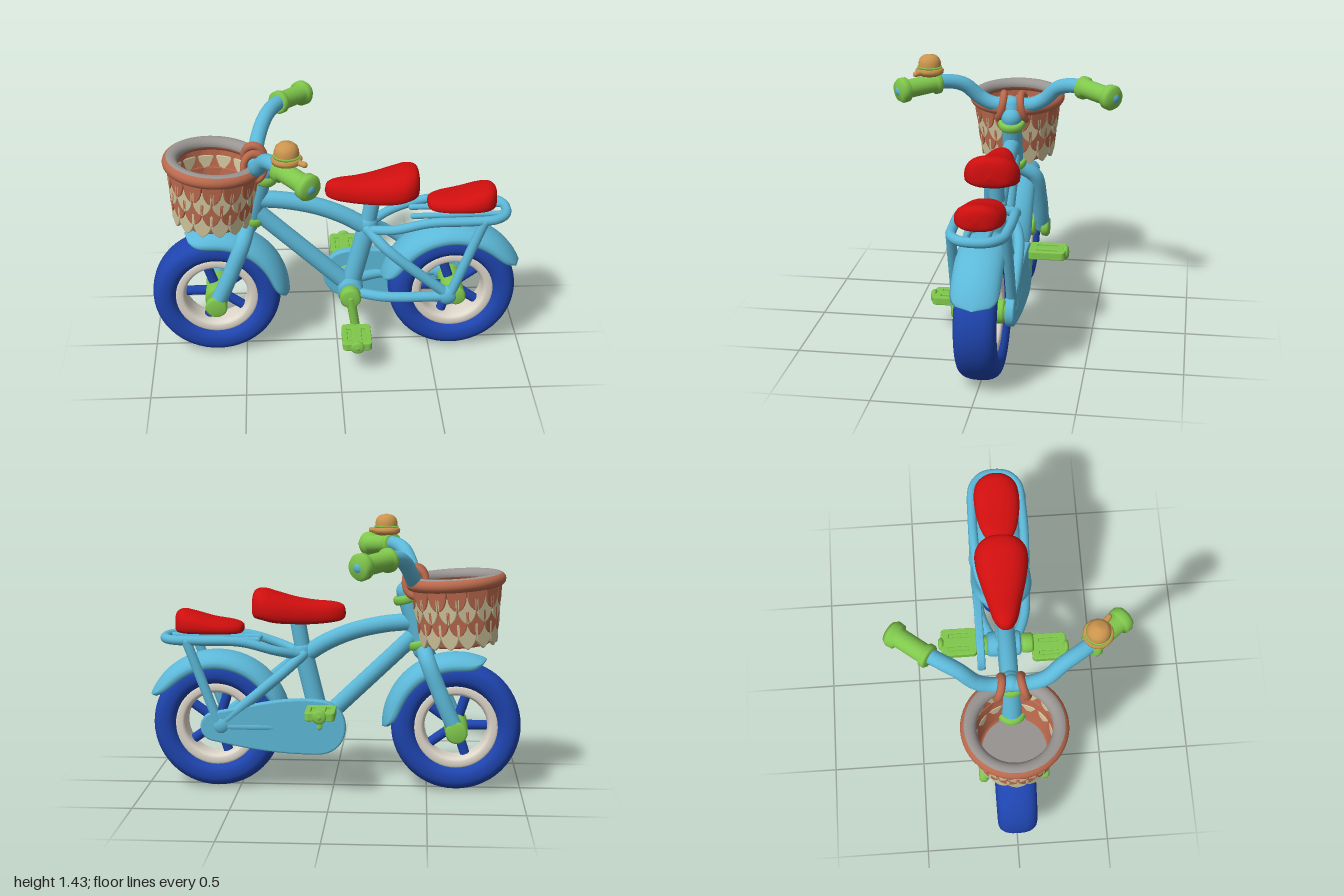
import * as THREE from 'three';

const mat = (name, color, side = THREE.FrontSide) => {
  const m = new THREE.MeshStandardMaterial({ color, side });
  m.name = name;
  return m;
};
const V = (x, y, z = 0) => new THREE.Vector3(x, y, z);
const V2 = (x, y) => new THREE.Vector2(x, y);

export function createModel() {
  const model = new THREE.Group();
  const sky = mat('skyBlue', 0x5cb8d8), navy = mat('tireBlue', 0x1e44ae), green = mat('green', 0x80c84c),
    cream = mat('rimCream', 0xded7ca), red = mat('red', 0xcf0e0e),
    clay = mat('terracotta', 0xb9684c, THREE.DoubleSide), sand = mat('sand', 0xcfc49c),
    grey = mat('grey', 0x999593, THREE.DoubleSide), brass = mat('brass', 0xcc954e);

  const add = (name, geo, material, parent = model) => {
    const m = new THREE.Mesh(geo, material);
    m.name = name;
    parent.add(m);
    return m;
  };
  const ball = (name, r, p, material, parent) => {
    const m = add(name, new THREE.SphereGeometry(r, 20, 14), material, parent);
    m.position.copy(p);
    return m;
  };
  // Smooth tube with rounded ends
  const tube = (name, pts, r, material = sky, parent = model) => {
    const curve = new THREE.CatmullRomCurve3(pts);
    add(name, new THREE.TubeGeometry(curve, pts.length > 2 ? 10 * pts.length : 1, r, 16), material, parent);
    for (const p of [pts[0], pts[pts.length - 1]]) ball(name + 'End', r, p, material, parent);
  };
  // Turned profile [radius, distance] laid from point a towards point b
  const turned = (name, profile, a, b, material, parent) => {
    const m = add(name, new THREE.LatheGeometry(profile.map(([r, y]) => V2(r, y)), 28), material, parent);
    m.position.copy(a);
    m.quaternion.setFromUnitVectors(V(0, 1), b.clone().sub(a).normalize());
    return m;
  };
  const disc = (name, r, x, y, z0, z1, material, parent) => {
    const d = z1 - z0, e = Math.min(0.012, d / 3);
    return turned(name, [[0, 0], [r - e, 0], [r, e], [r, d - e], [r - e, d], [0, d]], V(x, y, z0), V(x, y, z1), material, parent);
  };
  // Skin over a list of closed cross-sections
  const loft = (sections) => {
    const n = sections[0].length, idx = [];
    for (let i = 0; i < sections.length - 1; i++)
      for (let j = 0; j < n; j++) {
        const a = i * n + j, b = a + n, c = i * n + (j + 1) % n, d = c + n;
        idx.push(a, b, c, b, d, c);
      }
    const g = new THREE.BufferGeometry().setFromPoints(sections.flat());
    g.setIndex(idx);
    g.computeVertexNormals();
    return g;
  };

  // Wheels: tire, rim, five spokes, hub
  const ovalRing = (R, a, b, p) => Array.from({ length: 33 }, (_, i) => {
    const t = -i / 32 * Math.PI * 2, c = Math.cos(t), s = Math.sin(t);
    return V2(R + a * Math.sign(c) * Math.abs(c) ** p, b * Math.sign(s) * Math.abs(s) ** p);
  }).reverse();
  for (const [name, x] of [['frontWheel', -0.652], ['rearWheel', 0.622]]) {
    const w = new THREE.Group();
    w.name = name;
    w.position.set(x, 0.345, 0);
    model.add(w);
    add('tire', new THREE.LatheGeometry(ovalRing(0.277, 0.068, 0.105, 0.8), 56), navy, w).rotation.x = Math.PI / 2;
    add('rim', new THREE.LatheGeometry(ovalRing(0.2, 0.034, 0.075, 0.6), 48), cream, w).rotation.x = Math.PI / 2;
    for (let i = 0; i < 5; i++) {
      const a = Math.PI + i * Math.PI * 0.4;
      tube('spoke', [V(0, 0), V(0.18 * Math.cos(a), 0.18 * Math.sin(a))], 0.026, navy, w);
    }
    disc('hub', 0.062, 0, 0, -0.11, 0.11, green, w);
  }

  // Fenders: arched section swept around the wheel, rounded at both ends
  const fender = (name, x, from, to) => {
    const sections = [];
    for (let i = 0; i <= 48; i++) {
      const u = i / 48, s = Math.pow(Math.max(0, 1 - Math.abs(2 * u - 1) ** 7), 0.5);
      const th = THREE.MathUtils.degToRad(from + (to - from) * u), loop = [];
      for (let k = 0; k < 26; k++) {
        const outer = k < 13, f = (outer ? k / 6 - 1 : (25 - k) / 6 - 1) * s * Math.PI / 2;
        const r = 0.322 + 0.072 * Math.cos(f) - (outer ? 0 : 0.016);
        loop.push(V(x + r * Math.cos(th), 0.345 + r * Math.sin(th), (outer ? 0.122 : 0.11) * Math.sin(f)));
      }
      sections.push(loop);
    }
    add(name, loft(sections), sky);
  };
  fender('frontFender', -0.652, -2, 114);
  fender('rearFender', 0.622, 22, 170);

  // Main frame
  tube('headTube', [V(-0.475, 0.75), V(-0.385, 1.06)], 0.056);
  tube('stem', [V(-0.39, 1.04), V(-0.415, 1.13)], 0.045);
  tube('topTube', [V(-0.42, 0.9), V(-0.27, 0.885), V(-0.1, 0.845), V(0.04, 0.785), V(0.16, 0.71)], 0.046);
  tube('downTube', [V(-0.43, 0.83), V(0.06, 0.36)], 0.046);
  tube('seatTube', [V(0.07, 0.35), V(0.165, 0.74)], 0.052);
  tube('seatPost', [V(0.16, 0.72), V(0.195, 0.92)], 0.042);
  disc('bottomBracket', 0.07, 0.07, 0.35, -0.1, 0.09, sky);
  for (const [x, y] of [[-0.462, 0.785], [-0.387, 1.025]]) {
    turned('headBand', [[0.05, -0.022], [0.066, -0.022], [0.074, -0.01], [0.074, 0.01], [0.066, 0.022], [0.05, 0.022]],
      V(x, y), V(x + 0.09, y + 0.31), green);
  }

  // Paired fork legs, stays and rack supports
  for (const s of [1, -1]) {
    tube('forkLeg', [V(-0.475, 0.76, s * 0.03), V(-0.5, 0.7, s * 0.115), V(-0.56, 0.55, s * 0.14),
      V(-0.62, 0.41, s * 0.145), V(-0.652, 0.345, s * 0.145)], 0.043);
    disc('forkNut', 0.058, -0.652, 0.34, s * 0.165 - 0.025, s * 0.165 + 0.025, green);
    tube('chainStay', [V(0.08, 0.35, s * 0.06), V(0.25, 0.35, s * 0.125), V(0.59, 0.35, s * 0.135)], 0.028);
    tube('seatStay', [V(0.16, 0.72, s * 0.04), V(0.27, 0.63, s * 0.125), V(0.59, 0.36, s * 0.135)], 0.028);
    tube('rackStay', [V(0.6, 0.36, s * 0.14), V(0.765, 0.8, s * 0.135)], 0.026);
    ball('dropout', 0.056, V(0.588, 0.355, s * 0.13), sky).scale.z = 0.75;
    disc('rearNut', 0.05, 0.635, 0.35, s * 0.13 - 0.025, s * 0.13 + 0.025, green);
    tube('rackRail', [V(0.4, 0.8, s * 0.05), V(0.9, 0.805, s * 0.05)], 0.016);
  }
  // Rear rack loop
  const side = [V(0.17, 0.715, 0.04), V(0.3, 0.755, 0.115), V(0.48, 0.802, 0.135), V(0.7, 0.806, 0.135),
    V(0.83, 0.806, 0.12), V(0.89, 0.806, 0.06)];
  tube('rackLoop', [...side, ...side.map((p) => V(p.x, p.y, -p.z)).reverse()], 0.025);

  // Teardrop chain guard
  const guard = new THREE.Shape();
  guard.moveTo(0.08, 0.215);
  guard.bezierCurveTo(-0.11, 0.215, -0.11, 0.49, 0.08, 0.49);
  guard.bezierCurveTo(0.26, 0.51, 0.45, 0.45, 0.62, 0.42);
  guard.bezierCurveTo(0.71, 0.41, 0.71, 0.29, 0.62, 0.28);
  guard.bezierCurveTo(0.45, 0.24, 0.28, 0.215, 0.08, 0.215);
  add('chainGuard', new THREE.ExtrudeGeometry(guard, { depth: 0.025, bevelThickness: 0.01, bevelSize: 0.01,
    bevelSegments: 3, curveSegments: 20 }), sky).position.z = -0.15;

  // Cranks and pedals
  const pedal = (s, px, py) => {
    disc('crankHub', 0.056, 0.065, 0.355, s * 0.125 - 0.035, s * 0.125 + 0.035, green);
    tube('crankArm', [V(0.065, 0.355, s * 0.14), V(px, py, s * 0.14)], 0.025, green);
    disc('pedalAxle', 0.022, px, py, s * 0.25 - 0.12, s * 0.25 + 0.12, green);
    disc('pedalKnob', 0.036, px, py, s * 0.353 - 0.015, s * 0.353 + 0.015, green);
    const shape = new THREE.Shape();
    shape.absarc(0.055, 0.075, 0.018, 0, Math.PI / 2);
    shape.absarc(-0.055, 0.075, 0.018, Math.PI / 2, Math.PI);
    shape.absarc(-0.055, -0.075, 0.018, Math.PI, Math.PI * 1.5);
    shape.absarc(0.055, -0.075, 0.018, Math.PI * 1.5, Math.PI * 2);
    for (const x of [-0.038, 0.038]) {
      shape.holes.push(new THREE.Path([V2(x - 0.016, -0.06), V2(x - 0.016, 0.06), V2(x + 0.016, 0.06), V2(x + 0.016, -0.06)]));
    }
    const body = add('pedal', new THREE.ExtrudeGeometry(shape, { depth: 0.034, bevelThickness: 0.005, bevelSize: 0.005, bevelSegments: 2 }), green);
    body.rotation.x = -Math.PI / 2;
    body.position.set(px, py - 0.017, s * 0.255);
    add('pedalCore', new THREE.BoxGeometry(0.12, 0.022, 0.14), green).position.set(px, py, s * 0.255);
  };
  pedal(1, 0.092, 0.18);
  pedal(-1, 0.052, 0.455);

  // Seats: stations of x, half width, bottom, top
  const seat = (name, st) => {
    const a = new THREE.CatmullRomCurve3(st.map(([x, , b, t]) => V(x, b, t)), false, 'catmullrom', 0.5);
    const w = new THREE.SplineCurve(st.map(([x, h]) => V2(x, h)));
    const sections = [];
    for (let i = 0; i <= 48; i++) {
      const { x, y: lo, z: hi } = a.getPoint(i / 48), hw = Math.max(0, w.getPoint(i / 48).y), mid = lo + (hi - lo) * 0.35;
      sections.push(Array.from({ length: 28 }, (_, j) => {
        const t = j / 28 * Math.PI * 2, c = Math.cos(t), s = Math.sin(t), p = s > 0 ? 0.9 : 0.6;
        return V(x, mid + (s > 0 ? hi - mid : mid - lo) * Math.sign(s) * Math.abs(s) ** p, hw * Math.sign(c) * Math.abs(c) ** 0.8);
      }));
    }
    add(name, loft(sections), red);
  };
  seat('saddle', [[-0.066, 0, 0.94, 0.94], [-0.052, 0.032, 0.91, 0.985], [0, 0.065, 0.895, 1.003], [0.1, 0.092, 0.885, 1.01],
    [0.2, 0.12, 0.885, 1.025], [0.3, 0.14, 0.89, 1.052], [0.37, 0.135, 0.905, 1.07], [0.42, 0.09, 0.92, 1.055], [0.436, 0, 0.97, 0.97]]);
  seat('passengerSeat', [[0.474, 0, 0.86, 0.86], [0.488, 0.06, 0.835, 0.885], [0.54, 0.095, 0.828, 0.902], [0.64, 0.118, 0.828, 0.917],
    [0.74, 0.122, 0.828, 0.945], [0.8, 0.105, 0.83, 0.957], [0.835, 0.06, 0.84, 0.94], [0.846, 0, 0.89, 0.89]]);

  // Handlebar and grips
  const half = [V(-0.42, 1.13, 0.1), V(-0.41, 1.165, 0.175), V(-0.37, 1.245, 0.26), V(-0.315, 1.272, 0.36), V(-0.17, 1.252, 0.56)];
  const flip = (p) => V(p.x, p.y, -p.z);
  tube('handlebar', [...half.map(flip).reverse(), V(-0.42, 1.13), ...half], 0.04);
  const grip = [[0, 0], [0.05, 0], [0.062, 0.01], [0.062, 0.034], [0.05, 0.045], [0.05, 0.19], [0.066, 0.2],
    [0.068, 0.232], [0.055, 0.252], [0, 0.258]];
  for (const f of [(p) => p, flip]) turned('grip', grip, f(V(-0.307, 1.27, 0.385)), f(V(-0.153, 1.25, 0.575)), green);

  // Bell
  const bx = -0.265, bz = 0.43;
  turned('bellBase', [[0, 0], [0.05, 0], [0.073, 0.012], [0.077, 0.03], [0.068, 0.042], [0, 0.042]], V(bx, 1.315, bz), V(bx, 2, bz), brass);
  turned('bellBand', [[0, 0], [0.066, 0], [0.066, 0.012], [0, 0.012]], V(bx, 1.355, bz), V(bx, 2, bz), green);
  turned('bellDome', [[0.061, 0], [0.061, 0.025], [0.053, 0.047], [0.036, 0.062], [0, 0.07]], V(bx, 1.362, bz), V(bx, 2, bz), brass);
  tube('bellLever', [V(bx + 0.05, 1.338, bz + 0.03), V(bx + 0.085, 1.338, bz + 0.06)], 0.015, brass);

  // Basket with overlapping scales
  const basket = new THREE.Group();
  basket.name = 'basket';
  basket.position.set(-0.66, 0.785, 0);
  basket.rotation.z = -0.07;
  model.add(basket);
  const lathe = (name, pts, material) => add(name, new THREE.LatheGeometry(pts, 48), material, basket);
  lathe('basketWall', [V2(0, 0), V2(0.165, 0), V2(0.182, 0.015), V2(0.225, 0.33)], clay);
  const floor = add('basketFloor', new THREE.CircleGeometry(0.165, 32), grey, basket);
  floor.rotation.x = -Math.PI / 2;
  floor.position.y = 0.012;
  const rimArc = (from, to) => Array.from({ length: 17 }, (_, i) => {
    const t = THREE.MathUtils.degToRad(from + (to - from) * i / 16);
    return V2(0.227 + 0.04 * Math.cos(t), 0.335 + 0.036 * Math.sin(t));
  });
  lathe('basketRim', rimArc(-170, 58), clay);
  lathe('basketRimLining', rimArc(58, 190), grey);
  const leaf = new THREE.Shape();
  leaf.moveTo(-0.046, 0);
  leaf.bezierCurveTo(-0.052, -0.09, -0.025, -0.115, 0, -0.13);
  leaf.bezierCurveTo(0.025, -0.115, 0.052, -0.09, 0.046, 0);
  const leafGeo = new THREE.ExtrudeGeometry(leaf, { depth: 0.008, bevelThickness: 0.006, bevelSize: 0.005, bevelSegments: 2, curveSegments: 8 });
  for (let row = 0; row < 4; row++)
    for (let i = 0; i < 14; i++) {
      const a = (i + row % 2 / 2) / 14 * Math.PI * 2, y = 0.33 - row * 0.066, r = 0.183 + 0.13 * y;
      const m = add('basketScale', leafGeo, row % 2 ? sand : clay, basket);
      m.position.set(r * Math.sin(a), y, r * Math.cos(a));
      m.rotation.set(0.07, a, 0, 'YXZ');
    }

  // Straps tying the basket to the handlebar
  for (const s of [1, -1]) {
    const m = add('basketStrap', new THREE.TorusGeometry(0.058, 0.019, 12, 32), clay);
    m.position.set(-0.43, 1.115, s * 0.062);
    m.scale.set(0.95, 1.2, 1.1);
    m.rotation.set(-s * 0.2, s * 0.15, 0);
  }
  return model;
}
